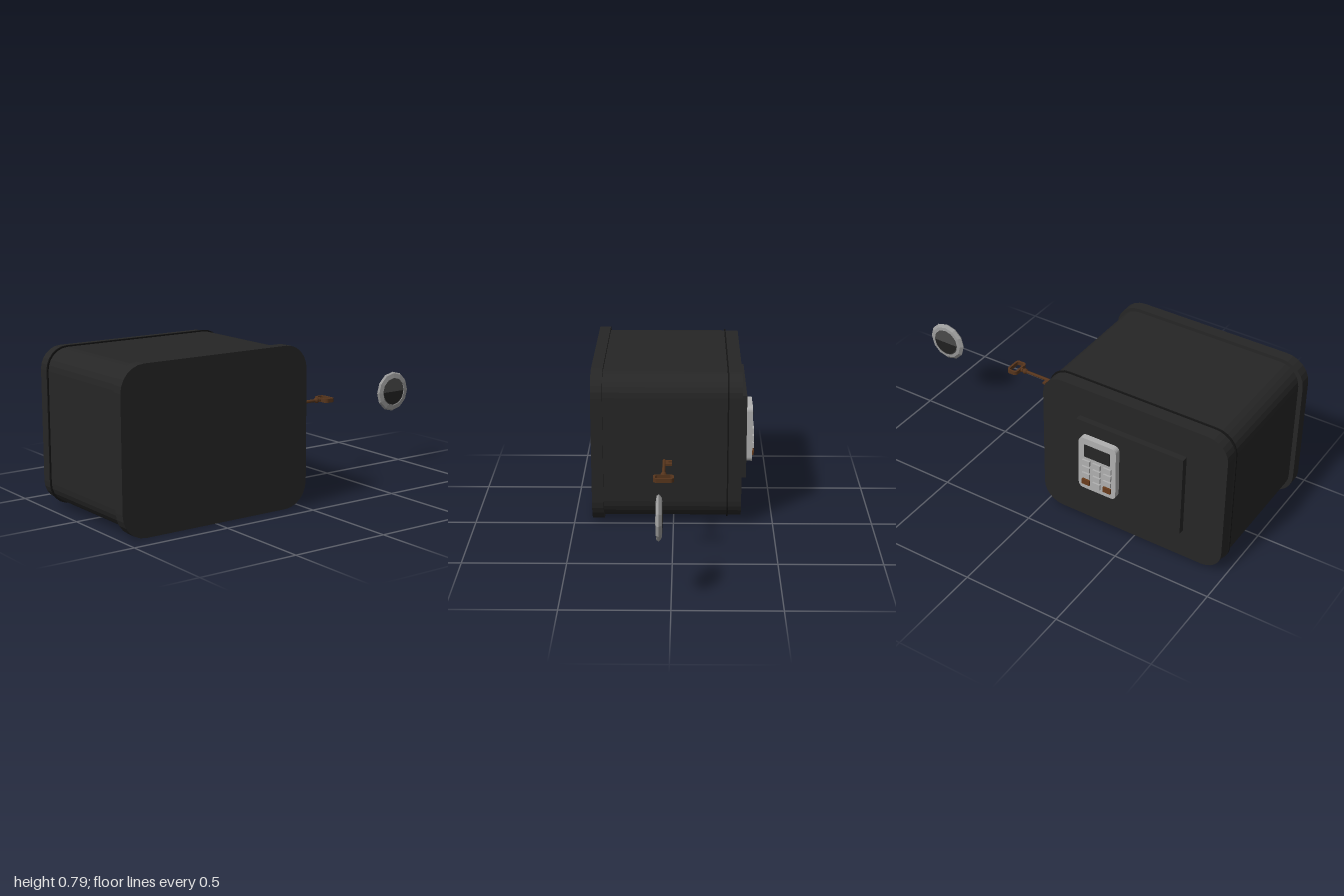
import * as THREE from 'three';

const mat = (name, color, extra = {}) => new THREE.MeshStandardMaterial({ name, color, ...extra });

// Rounded rectangle outline, a..b across and c..d up
function roundedRect(a, b, c, d, r, Kind = THREE.Shape) {
  const s = new Kind();
  s.moveTo(a + r, c);
  s.lineTo(b - r, c);
  s.absarc(b - r, c + r, r, -Math.PI / 2, 0, false);
  s.lineTo(b, d - r);
  s.absarc(b - r, d - r, r, 0, Math.PI / 2, false);
  s.lineTo(a + r, d);
  s.absarc(a + r, d - r, r, Math.PI / 2, Math.PI, false);
  s.lineTo(a, c + r);
  s.absarc(a + r, c + r, r, Math.PI, Math.PI * 1.5, false);
  return s;
}

export function createModel() {
  const model = new THREE.Group();
  const black = mat('safe black', 0x262626);
  const seam = mat('seam black', 0x141414);
  const grey = mat('light grey', 0xb0b0b0);
  const steel = mat('dial steel', 0x9a9a9a, { flatShading: true, side: THREE.DoubleSide });
  const dark = mat('dial dark grey', 0x4a4a4a, { side: THREE.DoubleSide });
  const pupil = mat('dial black', 0x202020, { side: THREE.DoubleSide });
  const brown = mat('key brown', 0x57351c);
  const buttonBrown = mat('button brown', 0x6b3d1c);

  const add = (name, geometry, material, parent = model) => {
    const mesh = new THREE.Mesh(geometry, material);
    mesh.name = name;
    parent.add(mesh);
    return mesh;
  };

  // Slab with rounded corners in the yz plane, running from x0 to x1
  const slab = (name, material, x0, x1, y0, y1, z0, z1, r, parent) => {
    const g = new THREE.ExtrudeGeometry(roundedRect(-z1, -z0, y0, y1, r), {
      depth: x1 - x0, bevelEnabled: false, curveSegments: 3,
    });
    g.rotateY(Math.PI / 2).translate(x0, 0, 0);
    return add(name, g, material, parent);
  };

  // Box given by its limits
  const box = (name, material, x0, x1, y0, y1, z0, z1, parent) => {
    const g = new THREE.BoxGeometry(x1 - x0, y1 - y0, z1 - z0);
    g.translate((x0 + x1) / 2, (y0 + y1) / 2, (z0 + z1) / 2);
    return add(name, g, material, parent);
  };

  // Safe body, rear flange and door seam
  slab('safeBody', black, -0.34, 0.35, 0.02, 0.772, -0.01, 0.977, 0.105);
  slab('rearFlange', black, 0.35, 0.408, 0.002, 0.79, -0.028, 1, 0.122);
  slab('doorSeam', seam, -0.274, -0.267, 0.013, 0.779, -0.016, 0.984, 0.108);
  box('doorPlate', black, -0.371, -0.34, 0.177, 0.614, 0.197, 0.77);

  // Keypad with screen and a 3 by 4 grid of buttons
  const keypad = new THREE.Group();
  keypad.name = 'keypad';
  model.add(keypad);
  slab('keypadCase', grey, -0.402, -0.371, 0.248, 0.545, 0.23, 0.435, 0.025, keypad);
  box('keypadScreen', black, -0.405, -0.401, 0.44, 0.51, 0.262, 0.403, keypad);
  for (let row = 0; row < 4; row++) {
    for (let col = 0; col < 3; col++) {
      const y = 0.292 + row * 0.0385, z = 0.274 + col * 0.0585;
      const material = row === 0 && col !== 1 ? buttonBrown : grey;
      box('keypadButton', material, -0.411, -0.402, y - 0.0145, y + 0.0145, z - 0.021, z + 0.021, keypad);
    }
  }

  // Key lying flat behind the safe
  const key = new THREE.Group();
  key.name = 'key';
  key.position.set(0.042, 0.411, 0);
  model.add(key);
  const bow = roundedRect(-0.049, 0.049, -0.471, -0.411, 0.018);
  bow.holes.push(roundedRect(-0.038, 0.038, -0.46, -0.422, 0.01, THREE.Path));
  const bowGeometry = new THREE.ExtrudeGeometry(bow, { depth: 0.02, bevelEnabled: false, curveSegments: 3 });
  bowGeometry.rotateX(Math.PI / 2).translate(0, 0.01, 0);
  add('keyBow', bowGeometry, brown, key);
  const shaft = new THREE.CylinderGeometry(0.008, 0.008, 0.217, 8);
  add('keyShaft', shaft.rotateX(Math.PI / 2).translate(0, 0, -0.3035), brown, key);
  add('keyCollar', new THREE.SphereGeometry(0.015, 8, 6).translate(0, 0, -0.388), brown, key);
  add('keyNeck', new THREE.CylinderGeometry(0.011, 0.011, 0.014, 8).rotateX(Math.PI / 2).translate(0, 0, -0.409), brown, key);
  box('keyBit', brown, -0.02, 0, -0.005, 0.005, -0.255, -0.2, key);
  for (const z of [-0.247, -0.208]) box('keyTooth', brown, -0.038, -0.018, -0.005, 0.005, z - 0.008, z + 0.008, key);

  // Faceted dial: steel ring around a dark centre
  const dial = new THREE.Group();
  dial.name = 'dial';
  dial.position.set(0.052, 0.4, -0.895);
  model.add(dial);
  const ringProfile = [
    [0.072, -0.013], [0.09, -0.011], [0.105, 0.002], [0.098, 0.012], [0.074, 0.016], [0.072, -0.013],
  ].map(([r, h]) => new THREE.Vector2(r, h));
  add('dialRing', new THREE.LatheGeometry(ringProfile, 12).rotateZ(-Math.PI / 2), steel, dial);
  const core = new THREE.CylinderGeometry(0.073, 0.073, 0.026, 12).rotateZ(-Math.PI / 2);
  add('dialCore', core, dark, dial);
  for (const x of [-0.0142, 0.0142]) {
    const half = new THREE.CircleGeometry(0.068, 10, Math.PI, Math.PI);
    add('dialShadePlate', half.rotateY(Math.PI / 2).translate(x, 0, 0), pupil, dial);
  }
  return model;
}
